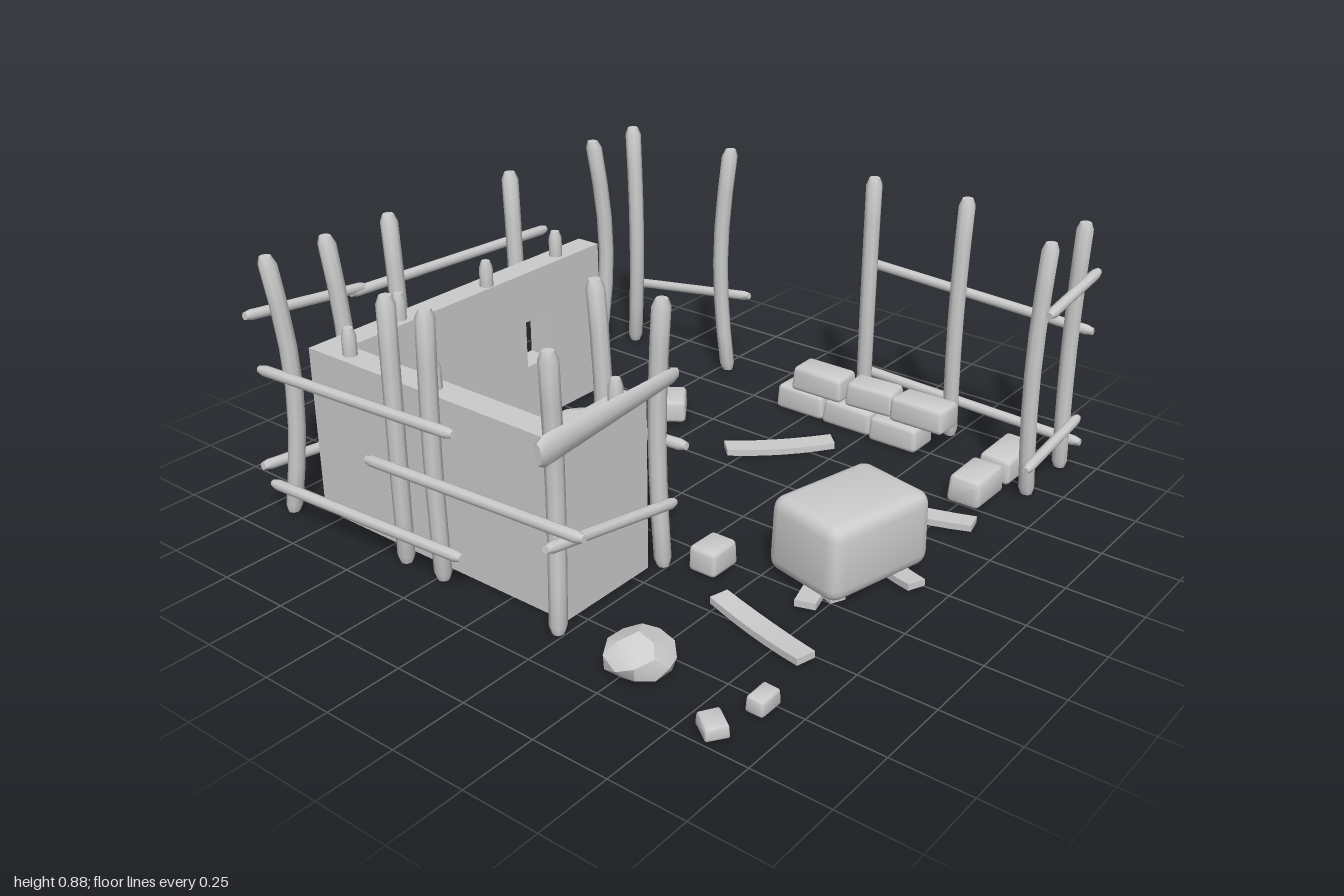
import * as THREE from 'three';
import { toCreasedNormals, mergeVertices } from 'three/addons/utils/BufferGeometryUtils.js';
import { RoundedBoxGeometry } from 'three/addons/geometries/RoundedBoxGeometry.js';

const V = (x, y, z) => new THREE.Vector3(x, y, z);

export function createModel() {
  const model = new THREE.Group();
  model.name = 'ruinedHut';
  const material = new THREE.MeshStandardMaterial({ color: 0xcccccc });

  const add = (name, geometry, parent = model) => {
    const mesh = new THREE.Mesh(geometry, material);
    mesh.name = name;
    parent.add(mesh);
    return mesh;
  };
  const group = (name) => {
    const g = new THREE.Group();
    g.name = name;
    model.add(g);
    return g;
  };

  // Round pole with blunted tips from a to b, bowed sideways by bend
  function pole(a, b, r0, r1, bend = V(0, 0, 0)) {
    const dir = b.clone().sub(a);
    const len = dir.length();
    const tip = Math.min(0.025, len * 0.1) / len;
    const profile = [new THREE.Vector2(0, 0), new THREE.Vector2(r0 * 0.7, 0)];
    for (let i = 0; i <= 6; i++) {
      const t = tip + (1 - 2 * tip) * i / 6;
      profile.push(new THREE.Vector2(THREE.MathUtils.lerp(r0, r1, t), t * len));
    }
    profile.push(new THREE.Vector2(r1 * 0.65, len), new THREE.Vector2(0, len));
    const g = new THREE.LatheGeometry(profile, 8);
    const q = new THREE.Quaternion().setFromUnitVectors(V(0, 1, 0), dir.normalize());
    const p = g.attributes.position;
    const v = V(0, 0, 0);
    for (let i = 0; i < p.count; i++) {
      v.fromBufferAttribute(p, i);
      const t = v.y / len;
      v.applyQuaternion(q).add(a).addScaledVector(bend, Math.sin(Math.PI * t));
      p.setXYZ(i, v.x, v.y, v.z);
    }
    return toCreasedNormals(g, 0.9);
  }

  // Walls: long left wall with a window, front wall, short right return
  const walls = group('walls');
  const side = new THREE.Shape();
  side.moveTo(-0.45, 0.01).lineTo(0.8, 0.01).lineTo(0.8, 0.58).lineTo(-0.45, 0.58).closePath();
  const hole = new THREE.Path();
  hole.moveTo(-0.18, 0.23).lineTo(-0.18, 0.4).lineTo(-0.065, 0.4).lineTo(-0.065, 0.23).closePath();
  side.holes.push(hole);
  const sideWall = new THREE.ExtrudeGeometry(side, { depth: 0.09, bevelEnabled: false });
  add('leftWall', sideWall.rotateY(-Math.PI / 2).translate(-0.74, 0, 0), walls);
  add('frontWall', new THREE.BoxGeometry(0.95, 0.57, 0.09).translate(-0.265, 0.295, 0.755), walls);
  add('rightWall', new THREE.BoxGeometry(0.095, 0.57, 0.28).translate(0.1625, 0.295, 0.57), walls);

  // Short stakes standing out of the wall tops
  const stakes = group('wallStakes');
  for (const [x, z, lean] of [[-0.78, -0.27, 0], [-0.77, 0.09, 0.005], [-0.78, 0.47, 0],
    [-0.69, 0.755, 0], [-0.3, 0.76, -0.02], [0.17, 0.53, 0.01]]) {
    add('stake', pole(V(x, 0.3, z), V(x + lean, 0.67, z), 0.023, 0.023), stakes);
  }

  // Tall fence posts: x, z, bow in x, bow in z
  const posts = group('fencePosts');
  for (const [x, z, bx, bz] of [
    [-0.92, -0.87, 0.03, 0.02], [-0.46, -0.87, -0.025, 0.02], [-0.92, -0.64, 0.02, -0.04],
    [-0.9, -0.18, 0.03, 0.02], [-0.9, 0.38, 0.03, 0.01], [-0.9, 0.64, 0.03, -0.02],
    [-0.9, 0.87, 0.03, -0.03], [-0.385, 0.86, 0.01, 0.01], [-0.225, 0.86, 0, 0.01],
    [-0.005, 0.4, 0.025, 0], [0.24, 0.395, -0.02, 0], [0.235, 0.86, -0.01, -0.02],
    [0.125, -0.91, 0.01, 0.02], [0.485, -0.91, 0, 0.02], [0.895, -0.93, -0.01, 0],
    [0.895, -0.69, -0.01, 0.02]]) {
    add('post', pole(V(x, 0.015, z), V(x, 0.885, z), 0.027, 0.029, V(bx, 0, bz)), posts);
  }

  // Rails: start, end, then thickness at each end
  const rails = group('fenceRails');
  for (const [a, b, r0 = 0.018, r1 = r0] of [
    [[-0.95, 0.51, 0.9], [-0.1, 0.55, 0.9]],
    [[-0.48, 0.35, 0.9], [0.38, 0.39, 0.9]],
    [[-0.95, 0.11, 0.9], [-0.1, 0.15, 0.9]],
    [[-0.925, 0.71, 0.95], [-0.925, 0.66, 0.48]],
    [[-0.925, 0.2, 0.95], [-0.925, 0.15, 0.5]],
    [[-0.925, 0.655, 0.54], [-0.92, 0.62, -0.37]],
    [[-0.96, 0.24, -0.905], [-0.39, 0.32, -0.905]],
    [[0.1, 0.555, -0.955], [0.95, 0.515, -0.955]],
    [[0.1, 0.14, -0.955], [0.95, 0.11, -0.955]],
    [[0.925, 0.705, -1], [0.93, 0.665, -0.65]],
    [[0.92, 0.185, -0.98], [0.93, 0.15, -0.59]],
    [[0.265, 0.33, 0.93], [0.265, 0.23, 0.37]],
    [[-0.09, 0.41, 0.37], [0.31, 0.43, 0.37]]]) {
    add('rail', pole(V(...a), V(...b), r0, r1), rails);
  }
  // Broad tapering board on the right end
  const board = pole(V(0, 0.62, 0.94), V(0, 0.645, 0.35), 0.05, 0.025);
  add('wideRail', toCreasedNormals(board.scale(0.4, 1, 1).translate(0.26, 0, 0), 0.9), rails);

  // Hewn stones: x, z, base height, width, height, depth, turn
  const stones = group('stones');
  function stone(name, [x, z, y, w, h, d, turn = 0], skew = 0.06) {
    const g = new RoundedBoxGeometry(w, h, d, 2, Math.min(w, h, d) * 0.18);
    const p = g.attributes.position;
    for (let i = 0; i < p.count; i++) {
      const px = p.getX(i) / w, py = p.getY(i) / h, pz = p.getZ(i) / d;
      const k = 1 - skew * (py + 0.5) * (1 + Math.sin(x * 9 + px * 3 + pz * 4) * 0.6);
      p.setXYZ(i, px * w * k, py * h * (1 - skew * px * pz), pz * d * k);
    }
    add(name, toCreasedNormals(g, 0.6).rotateY(turn).translate(x, y + h / 2, z), stones);
  }
  stone('fallenBlock', [0.685, 0.06, 0.02, 0.3, 0.25, 0.41, -0.23], 0.03);
  for (const s of [
    [-0.03, -0.775, 0.01, 0.2, 0.09, 0.11], [0.17, -0.775, 0.01, 0.2, 0.09, 0.12],
    [0.37, -0.765, 0.01, 0.19, 0.09, 0.13], [0.04, -0.775, 0.1, 0.21, 0.09, 0.12],
    [0.25, -0.78, 0.1, 0.19, 0.09, 0.11, 0.06], [0.45, -0.775, 0.1, 0.21, 0.09, 0.12],
    [0.77, -0.79, 0.015, 0.12, 0.09, 0.21], [0.77, -0.57, 0.015, 0.12, 0.095, 0.18],
    [0.365, 0.31, 0.015, 0.1, 0.085, 0.125], [-0.38, -0.43, 0.015, 0.1, 0.08, 0.15, 0.62],
    [0.89, 0.785, 0.015, 0.06, 0.05, 0.09], [0.845, 0.945, 0.015, 0.09, 0.04, 0.07, -0.6]]) {
    stone('stone', s);
  }

  // Rough boulders
  for (const [x, z, seed] of [[-0.53, -0.09, 1], [0.51, 0.835, 4]]) {
    const g = new THREE.IcosahedronGeometry(1, 1);
    g.deleteAttribute('normal');
    g.deleteAttribute('uv');
    const rock = mergeVertices(g);
    const p = rock.attributes.position;
    for (let i = 0; i < p.count; i++) {
      const k = 1 + 0.1 * Math.sin(i * 2.3 + seed * 1.7);
      const y = Math.max(p.getY(i) * k, -0.45);
      p.setXYZ(i, p.getX(i) * k * 0.1, y * 0.07 + 0.044, p.getZ(i) * k * 0.1);
    }
    add('boulder', toCreasedNormals(rock, 0.5).translate(x, 0, z), stones);
  }

  // Fallen planks, slightly warped: ends on the ground and width
  const planks = group('fallenPlanks');
  for (const [x0, z0, x1, z1, w] of [
    [-0.055, -0.315, 0.205, -0.585, 0.075], [0.495, -0.295, 0.87, -0.385, 0.07],
    [0.49, 0.445, 0.865, 0.545, 0.07], [0.56, -0.15, 0.715, 0.33, 0.07],
    [0.91, 0.04, 0.63, -0.08, 0.065], [0.47, 0.1, 0.77, 0.24, 0.055]]) {
    const len = Math.hypot(x1 - x0, z1 - z0);
    const g = new THREE.BoxGeometry(len, 0.022, w, 6, 1, 1);
    const p = g.attributes.position;
    for (let i = 0; i < p.count; i++) {
      const t = p.getX(i) / len;
      p.setY(i, p.getY(i) + t * t * 0.04);
      p.setZ(i, p.getZ(i) * (1 - t * t * 0.3) + t * t * 0.01);
    }
    g.computeVertexNormals();
    g.rotateY(-Math.atan2(z1 - z0, x1 - x0)).translate((x0 + x1) / 2, 0.018, (z0 + z1) / 2);
    add('plank', g, planks);
  }

  return model;
}
